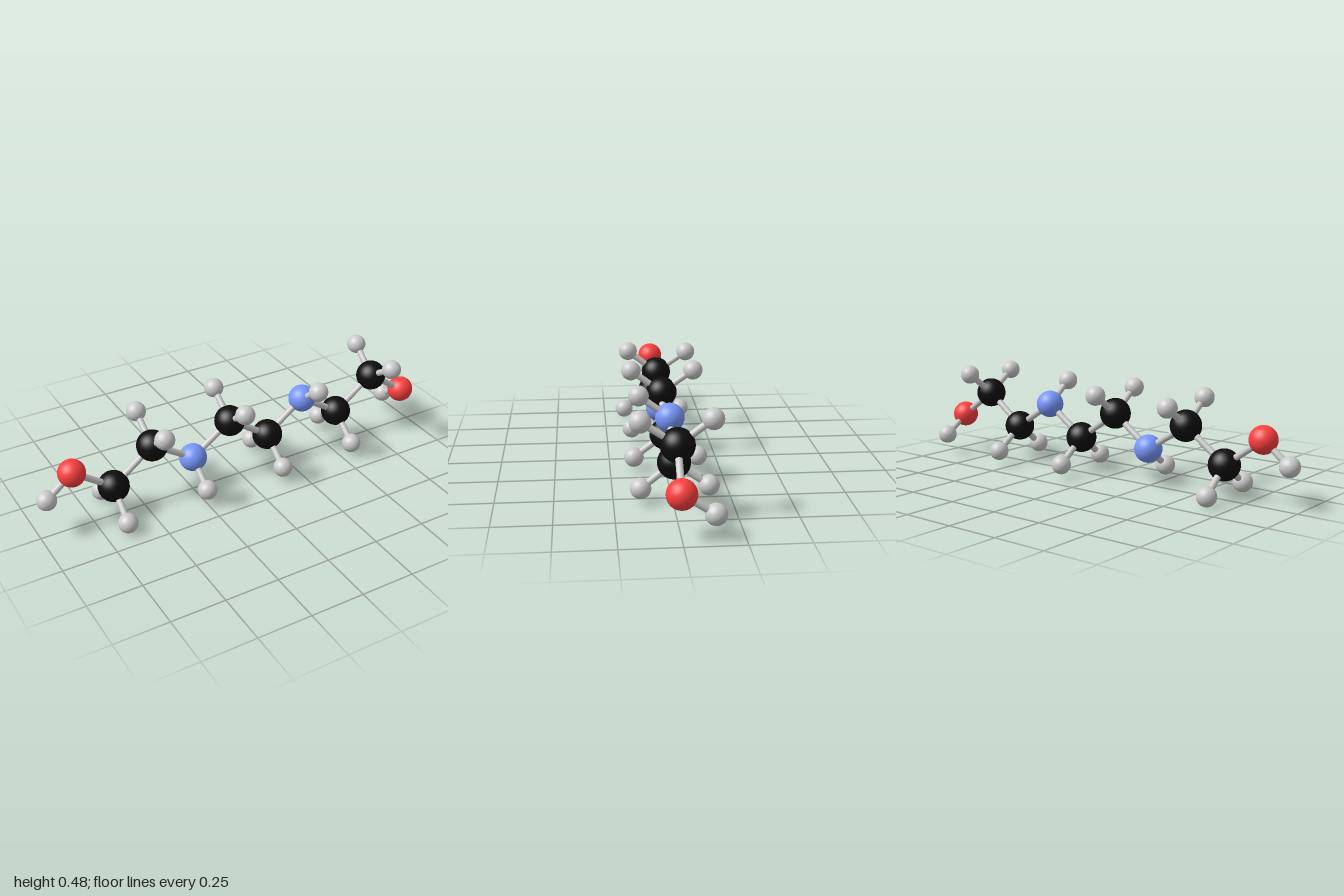
import * as THREE from 'three';

const ELEMENTS = {
  carbon: { radius: 0.071, color: 0x0d0d0d },
  nitrogen: { radius: 0.064, color: 0x7897fc },
  oxygen: { radius: 0.062, color: 0xff3f3f },
  hydrogen: { radius: 0.045, color: 0xcccccc },
};
const BOND_RADIUS = 0.015;

// Zigzag backbone: element, position, and the hydrogens bonded to it
const CHAIN = [
  ['oxygen', [-0.83, 0.29, 0], [[-0.955, 0.192, 0.003]]],
  ['carbon', [-0.643, 0.155, 0], [[-0.648, 0.05, 0.149], [-0.648, 0.046, -0.143]]],
  ['carbon', [-0.445, 0.302, -0.004], [[-0.448, 0.41, 0.136], [-0.448, 0.402, -0.152]]],
  ['nitrogen', [-0.243, 0.171, -0.004], [[-0.243, 0.071, 0.131]]],
  ['carbon', [-0.051, 0.31, 0], [[-0.052, 0.415, 0.142], [-0.052, 0.412, -0.147]]],
  ['carbon', [0.153, 0.171, 0], [[0.154, 0.065, 0.142], [0.154, 0.064, -0.147]]],
  ['nitrogen', [0.346, 0.31, -0.004], [[0.346, 0.41, 0.131]]],
  ['carbon', [0.548, 0.179, -0.004], [[0.55, 0.068, 0.136], [0.55, 0.075, -0.152]]],
  ['carbon', [0.746, 0.324, 0], [[0.75, 0.424, 0.149], [0.752, 0.431, -0.14]]],
  ['oxygen', [0.937, 0.192, 0.002], [[0.935, 0.105, -0.132]]],
];

export function createModel() {
  const model = new THREE.Group();
  model.name = 'molecule';
  const materials = {};
  const spheres = {};
  for (const [name, { radius, color }] of Object.entries(ELEMENTS)) {
    materials[name] = new THREE.MeshStandardMaterial({ color });
    spheres[name] = new THREE.SphereGeometry(radius, 40, 28);
  }
  const bondMaterial = new THREE.MeshStandardMaterial({ color: 0xcccccc });
  const up = new THREE.Vector3(0, 1, 0);

  function addAtom(element, position) {
    const atom = new THREE.Mesh(spheres[element], materials[element]);
    atom.name = element + 'Atom';
    atom.position.set(...position);
    model.add(atom);
  }

  // Cylinder running between two atom centres
  function addBond(from, to) {
    const a = new THREE.Vector3(...from);
    const b = new THREE.Vector3(...to);
    const axis = b.clone().sub(a);
    const geometry = new THREE.CylinderGeometry(BOND_RADIUS, BOND_RADIUS, axis.length(), 20, 1, true);
    const bond = new THREE.Mesh(geometry, bondMaterial);
    bond.name = 'bond';
    bond.position.copy(a).add(b).multiplyScalar(0.5);
    bond.quaternion.setFromUnitVectors(up, axis.normalize());
    model.add(bond);
  }

  CHAIN.forEach(([element, position, hydrogens], i) => {
    addAtom(element, position);
    if (i > 0) addBond(CHAIN[i - 1][1], position);
    for (const h of hydrogens) {
      addAtom('hydrogen', h);
      addBond(position, h);
    }
  });

  return model;
}
